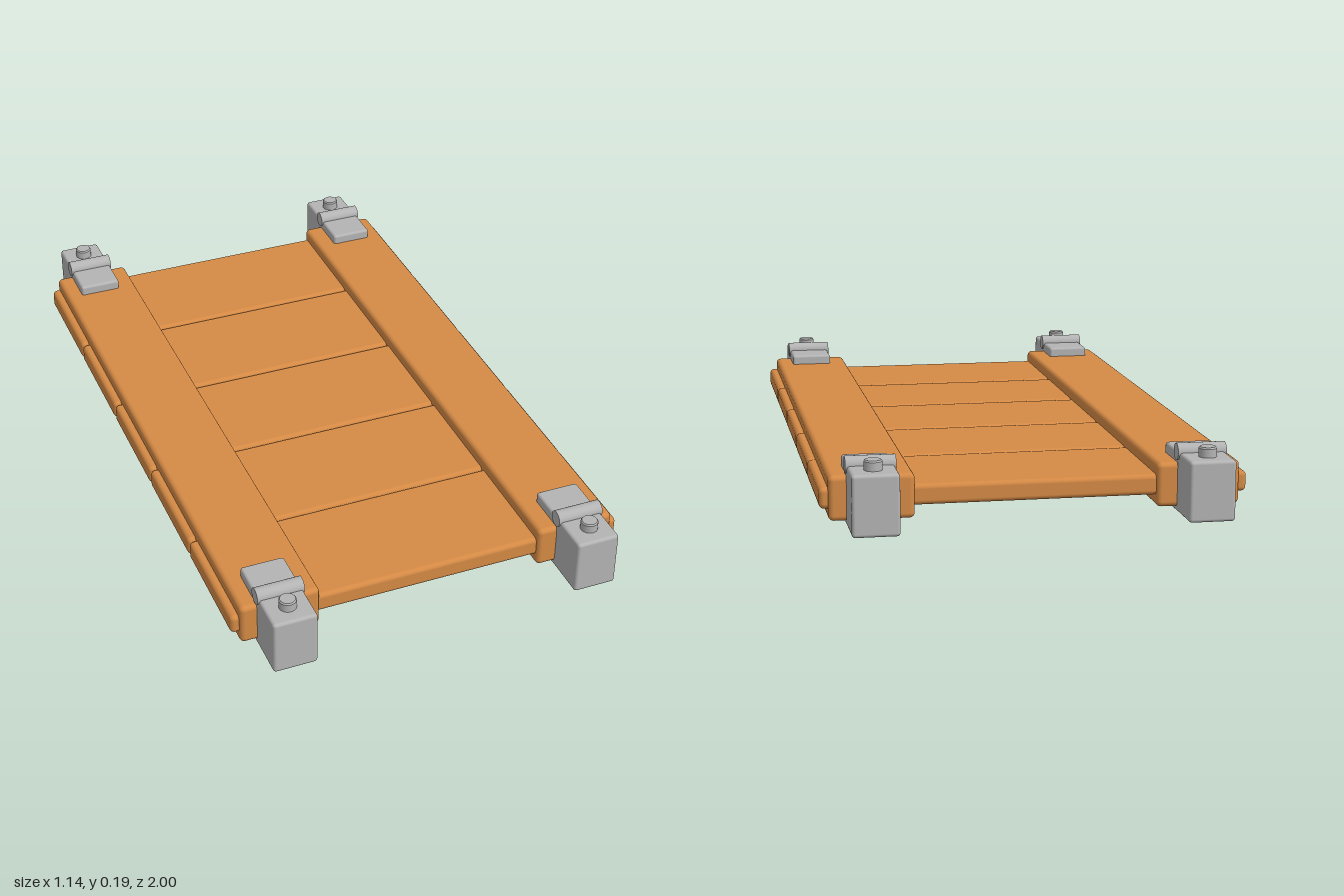
import * as THREE from 'three';
import { RoundedBoxGeometry } from 'three/addons/geometries/RoundedBoxGeometry.js';

export function createModel() {
  const model = new THREE.Group();
  model.name = 'plankPanel';
  const wood = new THREE.MeshStandardMaterial({ color: 0xd58a45 });
  const metal = new THREE.MeshStandardMaterial({ color: 0xb4b4b4 });

  const add = (parent, name, geometry, material, x, y, z) => {
    const mesh = new THREE.Mesh(geometry, material);
    mesh.name = name;
    mesh.position.set(x, y, z);
    parent.add(mesh);
    return mesh;
  };
  // Rounded block given by its limits on each axis
  const block = (parent, name, material, [x0, x1], [y0, y1], [z0, z1], r) =>
    add(parent, name, new RoundedBoxGeometry(x1 - x0, y1 - y0, z1 - z0, 3, r), material,
      (x0 + x1) / 2, (y0 + y1) / 2, (z0 + z1) / 2);

  // Five cross planks laid side by side
  const pitch = 0.347, gap = 0.004;
  for (let i = 0; i < 5; i++) {
    const z = (i - 2) * pitch, h = (pitch - gap) / 2;
    block(model, 'plank' + (i + 1), wood, [-0.57, 0.57], [0.045, 0.101], [z - h, z + h], 0.013);
  }

  // Two long side rails
  for (const s of [-1, 1]) {
    const x = s * 0.4345;
    block(model, s > 0 ? 'leftRail' : 'rightRail', wood,
      [x - 0.1125, x + 0.1125], [0.014, 0.134], [-0.877, 0.877], 0.014);
  }

  // Metal end bracket: block, clamping plates, hinge barrel and bolt
  const makeBracket = () => {
    const g = new THREE.Group();
    const w = [-0.062, 0.062];
    block(g, 'endBlock', metal, w, [0, 0.163], [0.868, 1], 0.009);
    block(g, 'topPlate', metal, w, [0.128, 0.163], [0.747, 0.885], 0.008);
    block(g, 'bottomPlate', metal, w, [0, 0.03], [0.747, 0.885], 0.008);
    const barrel = add(g, 'hingeBarrel', new THREE.CylinderGeometry(0.023, 0.023, 0.132, 24),
      metal, 0, 0.163, 0.872);
    barrel.rotation.z = Math.PI / 2;
    const profile = [[0, 0.15], [0.024, 0.15], [0.024, 0.186], [0.021, 0.19], [0, 0.19]];
    // Separate profile segments keep the bolt edges crisp
    for (let i = 1; i < profile.length - 1; i++) {
      const pts = [profile[i], profile[i + 1]].map(p => new THREE.Vector2(...p));
      add(g, 'bolt', new THREE.LatheGeometry(pts, 24), metal, 0, 0, 0.94);
    }
    return g;
  };

  // One bracket at each rail end
  for (const sx of [-1, 1]) for (const sz of [-1, 1]) {
    const bracket = makeBracket();
    bracket.name = (sz > 0 ? 'front' : 'back') + (sx > 0 ? 'Left' : 'Right') + 'Bracket';
    bracket.position.x = sx * 0.4385;
    if (sz < 0) bracket.rotation.y = Math.PI;
    model.add(bracket);
  }
  return model;
}
